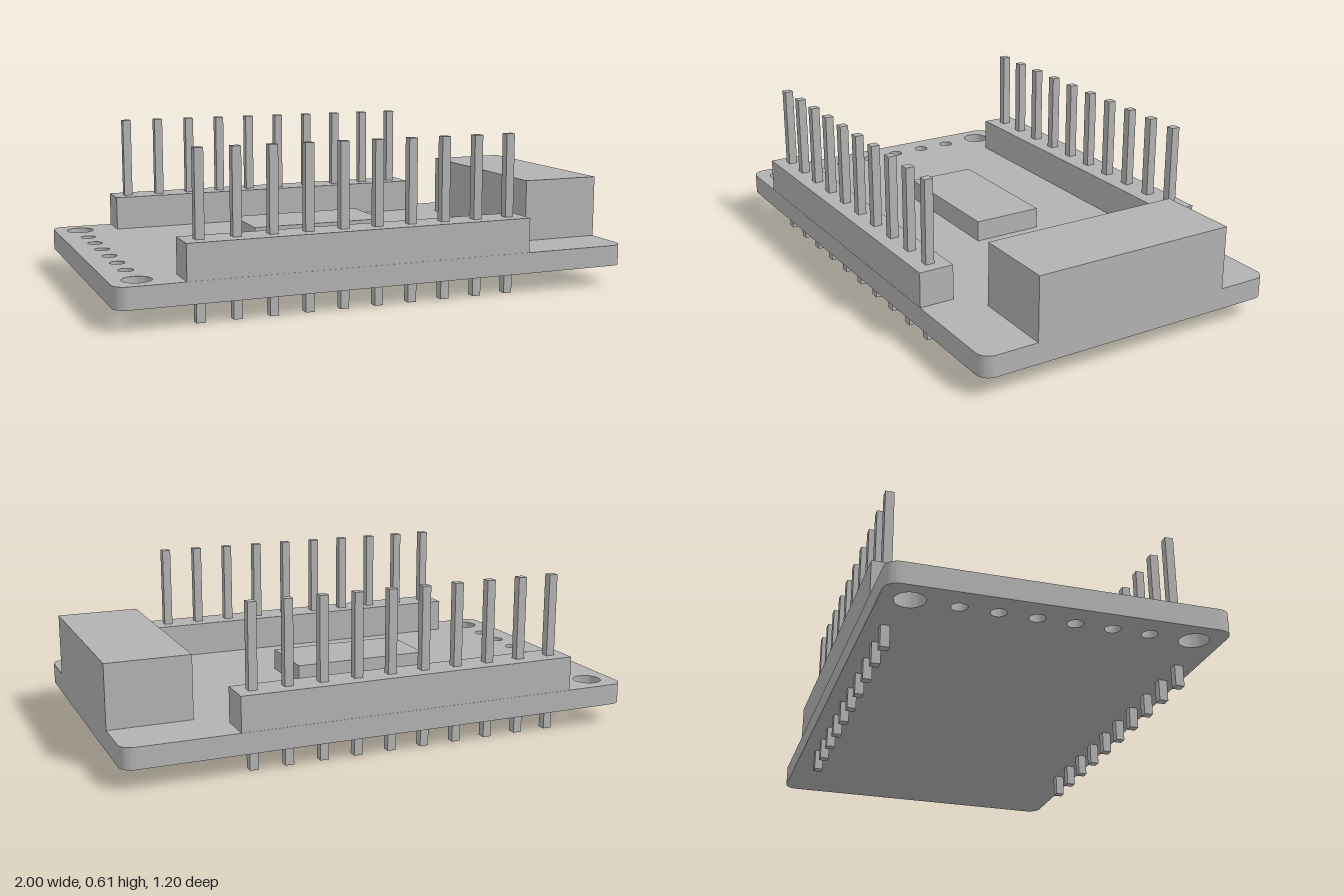
import * as THREE from 'three';
import { toCreasedNormals } from 'three/addons/utils/BufferGeometryUtils.js';

const BOARD_BOTTOM = 0.08, BOARD_TOP = 0.16;
const PITCH = 0.134;

export function createModel() {
  const model = new THREE.Group();
  model.name = 'circuitBoard';
  const grey = new THREE.MeshStandardMaterial({ color: 0xb2b2b2 });
  grey.name = 'plain grey';

  // Box given by its minimum and maximum corners
  function box(name, parent, [x0, y0, z0], [x1, y1, z1]) {
    const mesh = new THREE.Mesh(new THREE.BoxGeometry(x1 - x0, y1 - y0, z1 - z0), grey);
    mesh.position.set((x0 + x1) / 2, (y0 + y1) / 2, (z0 + z1) / 2);
    mesh.name = name;
    parent.add(mesh);
  }

  // Board: rounded rectangle with a row of holes along its -x edge
  const w = 1, d = 0.602, r = 0.05;
  const outline = new THREE.Shape();
  outline.absarc(w - r, d - r, r, 0, Math.PI / 2);
  outline.absarc(-w + r, d - r, r, Math.PI / 2, Math.PI);
  outline.absarc(-w + r, -d + r, r, Math.PI, Math.PI * 1.5);
  outline.absarc(w - r, -d + r, r, Math.PI * 1.5, Math.PI * 2);
  outline.closePath();
  const drill = (z, radius) => {
    const hole = new THREE.Path();
    hole.absarc(-0.9, z, radius, 0, Math.PI * 2, true);
    outline.holes.push(hole);
  };
  for (const z of [-0.5, 0.5]) drill(z, 0.053);
  for (let i = 0; i < 6; i++) drill((i - 2.5) * PITCH, 0.028);
  const boardGeometry = new THREE.ExtrudeGeometry(outline, {
    depth: BOARD_TOP - BOARD_BOTTOM, bevelEnabled: false, curveSegments: 16,
  });
  boardGeometry.rotateX(-Math.PI / 2);
  const board = new THREE.Mesh(toCreasedNormals(boardGeometry, 0.6), grey);
  board.position.y = BOARD_BOTTOM;
  board.name = 'board';
  model.add(board);

  // Pin headers along both long edges
  for (const side of [-1, 1]) {
    const header = new THREE.Group();
    header.name = side > 0 ? 'frontHeader' : 'backHeader';
    const z = side * 0.535;
    box('headerStrip', header, [-0.752, BOARD_TOP, z - 0.066], [0.578, 0.292, z + 0.066]);
    for (let i = 0; i < 10; i++) {
      const x = -0.69 + i * PITCH;
      box('pin', header, [x - 0.0165, 0, z - 0.0165], [x + 0.0165, 0.607, z + 0.0165]);
    }
    model.add(header);
  }

  // Central chip and the connector at the +x end
  box('chip', model, [-0.352, BOARD_TOP, -0.14], [0.183, 0.24, 0.132]);
  box('connector', model, [0.685, BOARD_TOP, -0.392], [1, 0.4, 0.392]);

  return model;
}
